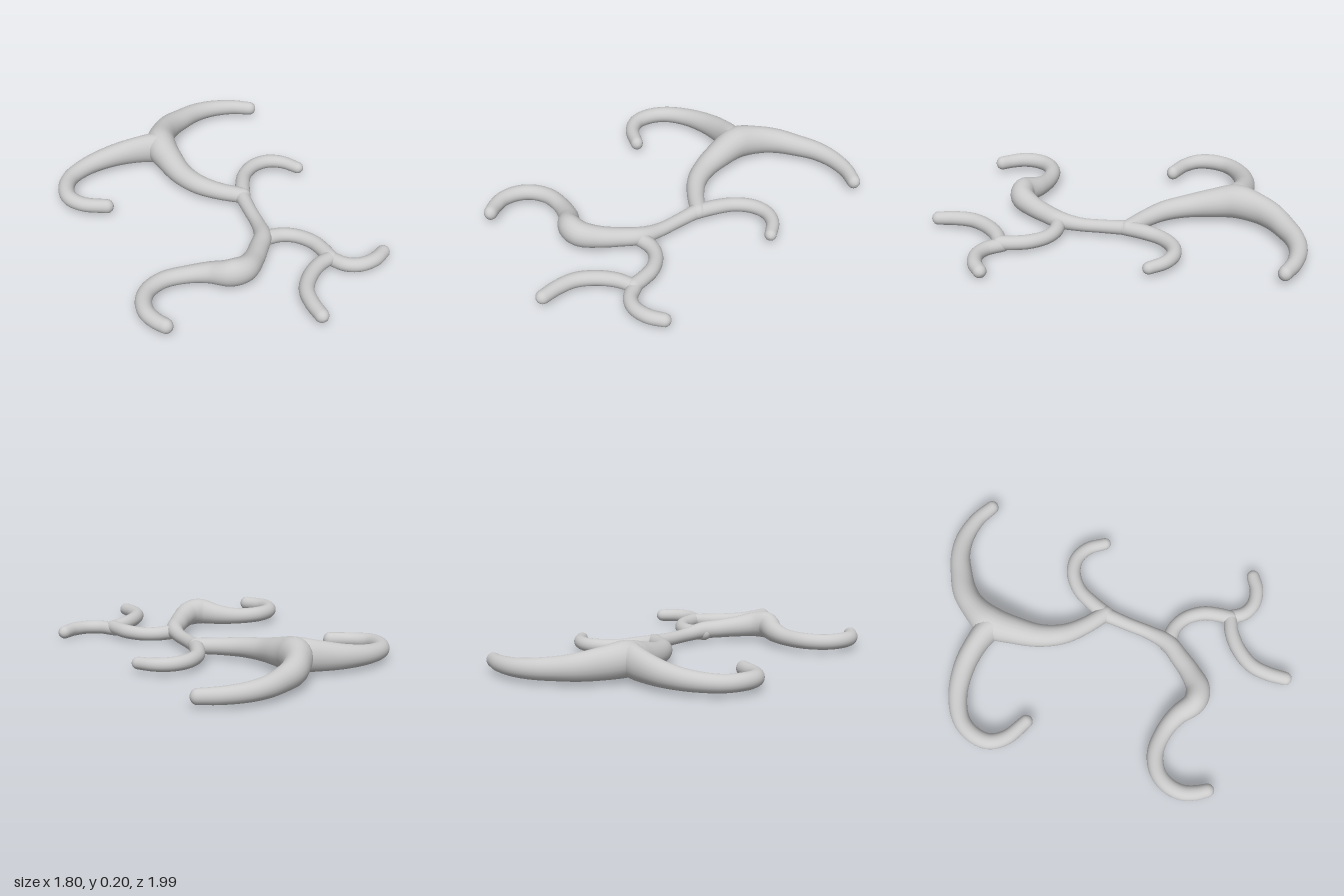
import * as THREE from 'three';

const material = new THREE.MeshStandardMaterial({ color: 0xcccccc, side: THREE.DoubleSide });
const SIDES = 20, STEPS = 7, CAP = 5;

// Round-ended tapering limb. Each point is [x, z, half width, half height (optional)];
// the underside rests at the height "base".
function limb(name, base, points) {
  const path = new THREE.CatmullRomCurve3(
    points.map(([x, z, r, h = r]) => new THREE.Vector3(x, base + h, z)));
  const size = new THREE.CatmullRomCurve3(
    points.map(([, , r, h = r]) => new THREE.Vector3(r, h, 0)), false, 'catmullrom', 0.5);
  const up = new THREE.Vector3(0, 1, 0);
  const positions = [], index = [];
  let rings = 0;

  const addRing = (t, scale, push) => {
    const centre = path.getPoint(t), s = size.getPoint(t), along = path.getTangent(t);
    along.y = 0;
    along.normalize();
    const side = new THREE.Vector3().crossVectors(up, along);
    centre.addScaledVector(along, push * s.x);
    for (let j = 0; j < SIDES; j++) {
      const a = (j / SIDES) * Math.PI * 2;
      const p = centre.clone()
        .addScaledVector(side, Math.cos(a) * s.x * scale)
        .addScaledVector(up, Math.sin(a) * s.y * scale);
      positions.push(p.x, p.y, p.z);
    }
    rings++;
  };

  // rounded start, body, rounded end
  for (let k = 0; k < CAP; k++) {
    const a = (k / CAP) * Math.PI / 2;
    addRing(0, Math.sin(a), -Math.cos(a));
  }
  const n = (points.length - 1) * STEPS;
  for (let i = 0; i <= n; i++) addRing(i / n, 1, 0);
  for (let k = CAP - 1; k >= 0; k--) {
    const a = (k / CAP) * Math.PI / 2;
    addRing(1, Math.sin(a), Math.cos(a));
  }

  for (let i = 0; i < rings - 1; i++) {
    for (let j = 0; j < SIDES; j++) {
      const a = i * SIDES + j, b = i * SIDES + (j + 1) % SIDES;
      index.push(a, b, a + SIDES, b, b + SIDES, a + SIDES);
    }
  }
  const geometry = new THREE.BufferGeometry();
  geometry.setAttribute('position', new THREE.Float32BufferAttribute(positions, 3));
  geometry.setIndex(index);
  geometry.computeVertexNormals();
  const mesh = new THREE.Mesh(geometry, material);
  mesh.name = name;
  return mesh;
}

export function createModel() {
  const model = new THREE.Group();
  model.name = 'branchingLimbs';

  // Back arm running into the thick trunk
  model.add(limb('backArmAndTrunk', 0.022, [
    [-0.12, -0.962, 0.035, 0.038], [-0.22, -0.94, 0.039, 0.042], [-0.33, -0.88, 0.046, 0.047],
    [-0.405, -0.8, 0.051, 0.053], [-0.455, -0.7, 0.057, 0.06], [-0.49, -0.6, 0.063, 0.07],
    [-0.495, -0.5, 0.067, 0.08], [-0.465, -0.37, 0.083, 0.09], [-0.38, -0.27, 0.072, 0.076],
    [-0.28, -0.18, 0.06], [-0.17, -0.125, 0.052], [-0.05, -0.107, 0.045], [0.08, -0.11, 0.041]]));

  // Left-hand curl leaving the trunk's thickest point
  model.add(limb('sideArm', 0.022, [
    [-0.44, -0.345, 0.07, 0.087], [-0.5, -0.34, 0.065, 0.086], [-0.59, -0.305, 0.058, 0.076],
    [-0.7, -0.235, 0.055, 0.062], [-0.8, -0.125, 0.049, 0.05], [-0.85, 0, 0.044],
    [-0.835, 0.1, 0.043], [-0.785, 0.17, 0.041], [-0.7, 0.197, 0.038], [-0.573, 0.178, 0.034, 0.038]]));

  // Small curl at the back of the link
  model.add(limb('smallCurl', 0.022, [
    [0.09, -0.09, 0.038], [0.055, -0.19, 0.039], [0.035, -0.3, 0.037], [0.06, -0.4, 0.037],
    [0.12, -0.462, 0.036], [0.2, -0.48, 0.034], [0.292, -0.457, 0.031]]));

  // Thin link widening into the front arm with its raised elbow
  model.add(limb('linkAndFrontArm', 0.022, [
    [0.075, -0.11, 0.039], [0.15, 0, 0.035], [0.22, 0.1, 0.036], [0.27, 0.2, 0.045],
    [0.277, 0.3, 0.049], [0.278, 0.4, 0.053, 0.056], [0.26, 0.5, 0.062, 0.068],
    [0.205, 0.55, 0.06, 0.071], [0.1, 0.558, 0.051, 0.055], [0, 0.59, 0.044],
    [-0.1, 0.66, 0.042], [-0.145, 0.75, 0.041], [-0.14, 0.83, 0.041], [-0.1, 0.9, 0.04],
    [-0.04, 0.94, 0.038], [0.015, 0.96, 0.035, 0.038]]));

  // Forked branch on the left side of the link
  model.add(limb('forkStem', 0.014, [
    [0.265, 0.21, 0.04], [0.35, 0.145, 0.037], [0.43, 0.13, 0.036], [0.52, 0.155, 0.037],
    [0.58, 0.2, 0.037], [0.63, 0.25, 0.037]]));
  model.add(limb('forkOuterTip', 0.005, [
    [0.62, 0.24, 0.036], [0.71, 0.268, 0.036], [0.78, 0.25, 0.036], [0.84, 0.19, 0.036],
    [0.868, 0.118, 0.034]]));
  model.add(limb('forkFrontTip', 0.018, [
    [0.63, 0.25, 0.034], [0.587, 0.33, 0.037], [0.566, 0.43, 0.038], [0.575, 0.53, 0.038],
    [0.62, 0.61, 0.037], [0.682, 0.68, 0.035]]));

  return model;
}
